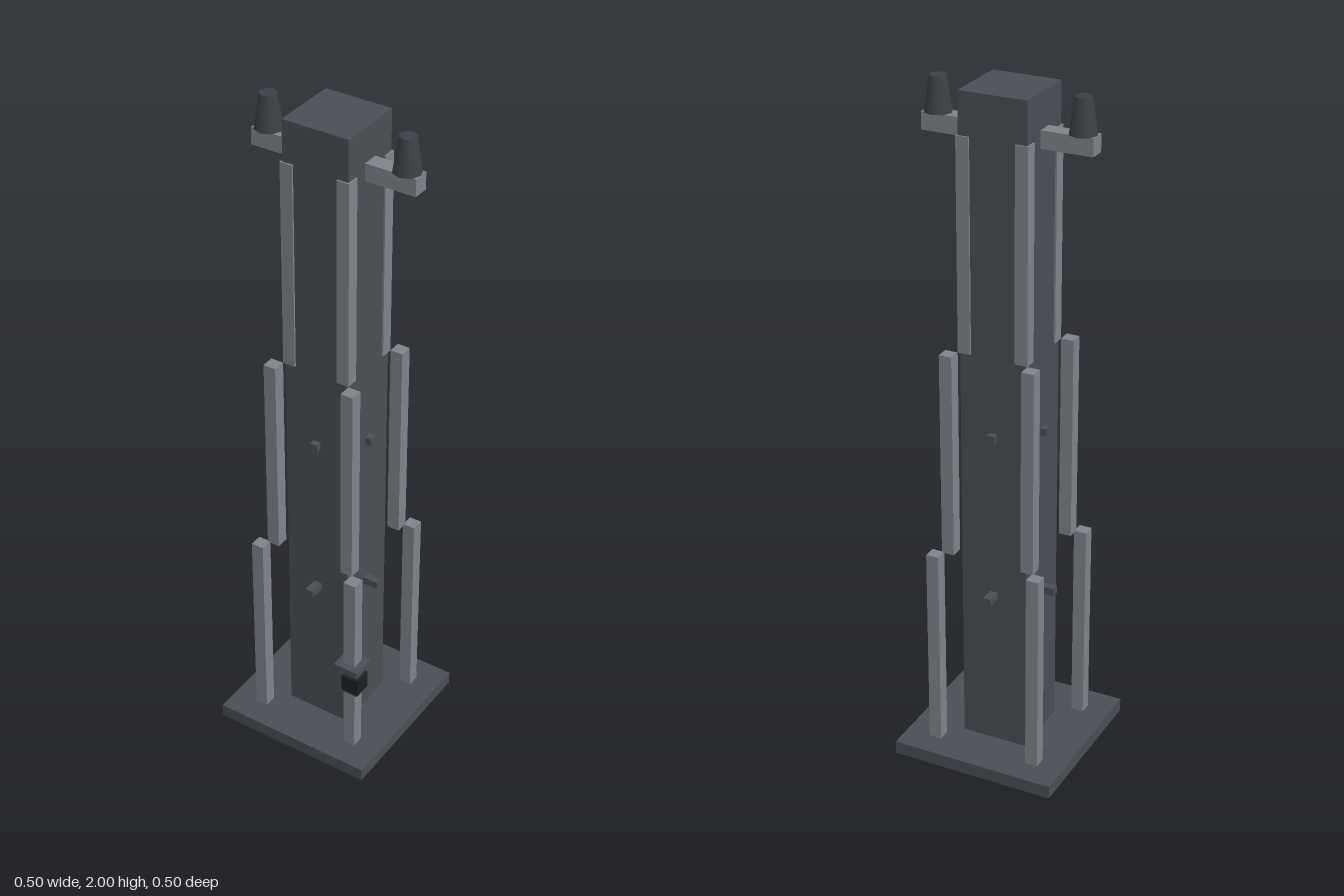
import * as THREE from 'three';

const paint = (color) => new THREE.MeshStandardMaterial({ color });

export function createModel() {
  const model = new THREE.Group();
  const dark = paint(0x4a4f56);
  const steel = paint(0x80858c);
  const cap = paint(0x3c4248);
  const black = paint(0x1c2024);

  const add = (name, geometry, material, x, y, z) => {
    const mesh = new THREE.Mesh(geometry, material);
    mesh.name = name;
    mesh.position.set(x, y, z);
    model.add(mesh);
    return mesh;
  };
  const box = (name, material, w, h, d, x, y, z) =>
    add(name, new THREE.BoxGeometry(w, h, d), material, x, y, z);

  // Base plate and central column
  box('basePlate', dark, 0.5, 0.04, 0.5, 0, 0.02, 0);
  box('column', dark, 0.2, 1.96, 0.2, 0, 1.02, 0);

  // Corner posts in three tiers, each tier stepping inward
  const tiers = [
    { name: 'lowerPost', offset: 0.157, bottom: 0.04, top: 0.653 },
    { name: 'middlePost', offset: 0.124, bottom: 0.653, top: 1.266 },
    { name: 'upperPost', offset: 0.086, bottom: 1.266, top: 1.88 },
  ];
  for (const { name, offset, bottom, top } of tiers) {
    for (const sx of [-1, 1]) {
      for (const sz of [-1, 1]) {
        box(name, steel, 0.038, top - bottom, 0.038, sx * offset, (bottom + top) / 2, sz * offset);
      }
    }
  }

  // Short pegs on all four column faces, longer in the lower ring
  for (const [y, reach] of [[0.527, 0.146], [1.03, 0.118]]) {
    const length = reach - 0.09;
    const centre = reach - length / 2;
    for (const s of [-1, 1]) {
      box('sidePeg', dark, length, 0.023, 0.023, s * centre, y, 0);
      box('facePeg', dark, 0.023, 0.023, length, 0, y, s * centre);
    }
  }

  // Side arms carrying tapered caps
  for (const s of [-1, 1]) {
    box('arm', steel, 0.16, 0.05, 0.048, s * 0.17, 1.875, 0);
    add('armCap', new THREE.CylinderGeometry(0.025, 0.04, 0.1, 8), cap, s * 0.21, 1.95, 0);
  }

  // Control box clamped to the front left post, with its dark corner block
  box('controlBox', dark, 0.079, 0.09, 0.079, 0.157, 0.307, 0.157);
  box('controlBlock', black, 0.054, 0.054, 0.054, 0.178, 0.304, 0.178);

  return model;
}
